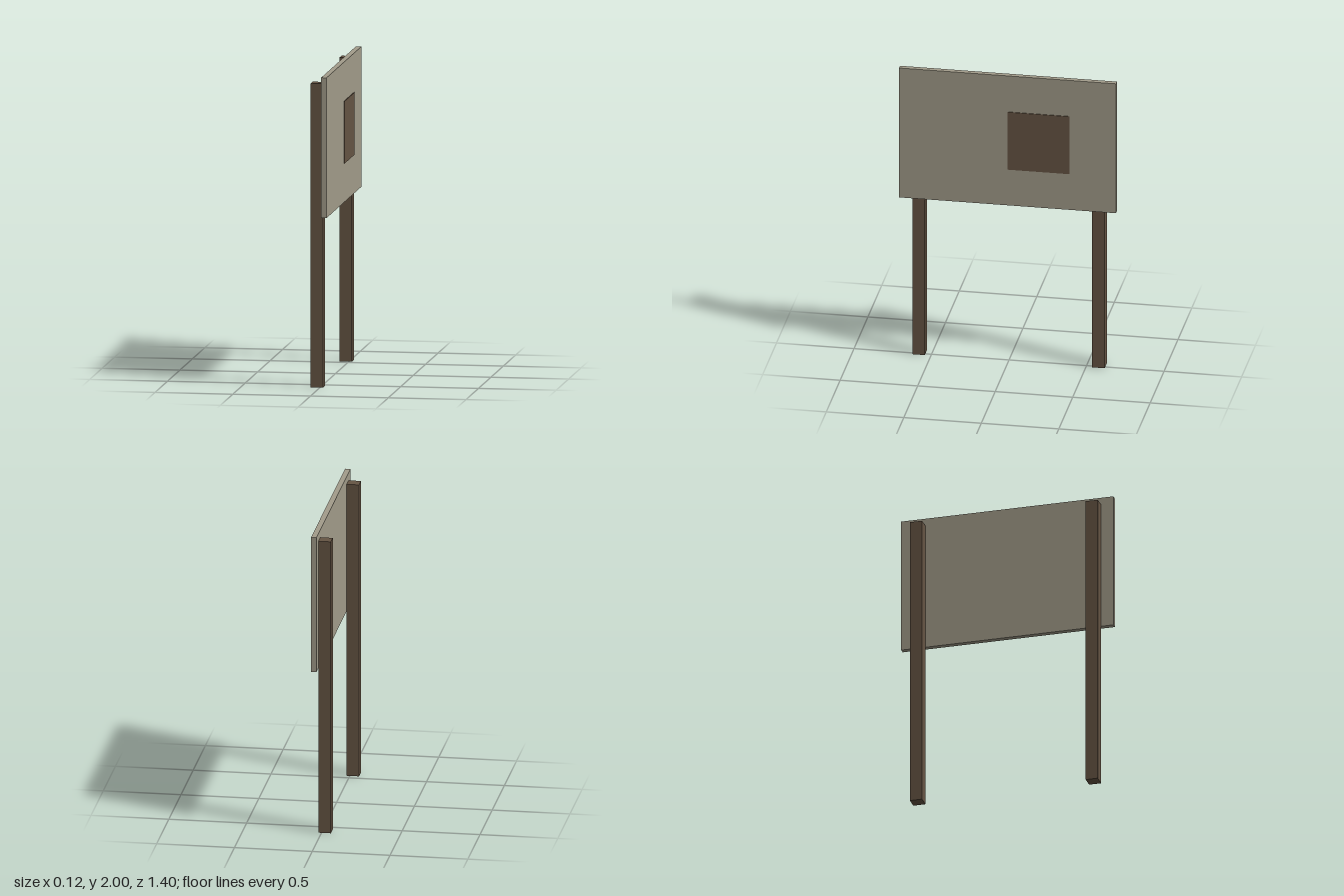
import * as THREE from 'three';

export function createModel() {
  const model = new THREE.Group();
  model.name = 'signboard';

  const wood = new THREE.MeshStandardMaterial({ color: 0x665544 });
  wood.name = 'dark wood';
  const board = new THREE.MeshStandardMaterial({ color: 0xa39d8b });
  board.name = 'weathered board';

  // Box given by its minimum and maximum corners
  function box(name, material, min, max) {
    const size = max.map((v, i) => v - min[i]);
    const mesh = new THREE.Mesh(new THREE.BoxGeometry(...size), material);
    mesh.position.set(...max.map((v, i) => (v + min[i]) / 2));
    mesh.name = name;
    model.add(mesh);
  }

  // Two square posts behind the panel
  for (const [name, z] of [['frontPost', 0.58], ['rearPost', -0.58]]) {
    box(name, wood, [-0.06, 0, z - 0.04], [0.02, 1.95, z + 0.04]);
  }

  // Panel facing +x, with a thin square notice on its face
  box('panel', board, [0.02, 1.1, -0.7], [0.055, 2, 0.7]);
  box('notice', wood, [0.055, 1.35, -0.4], [0.06, 1.75, 0]);

  return model;
}
